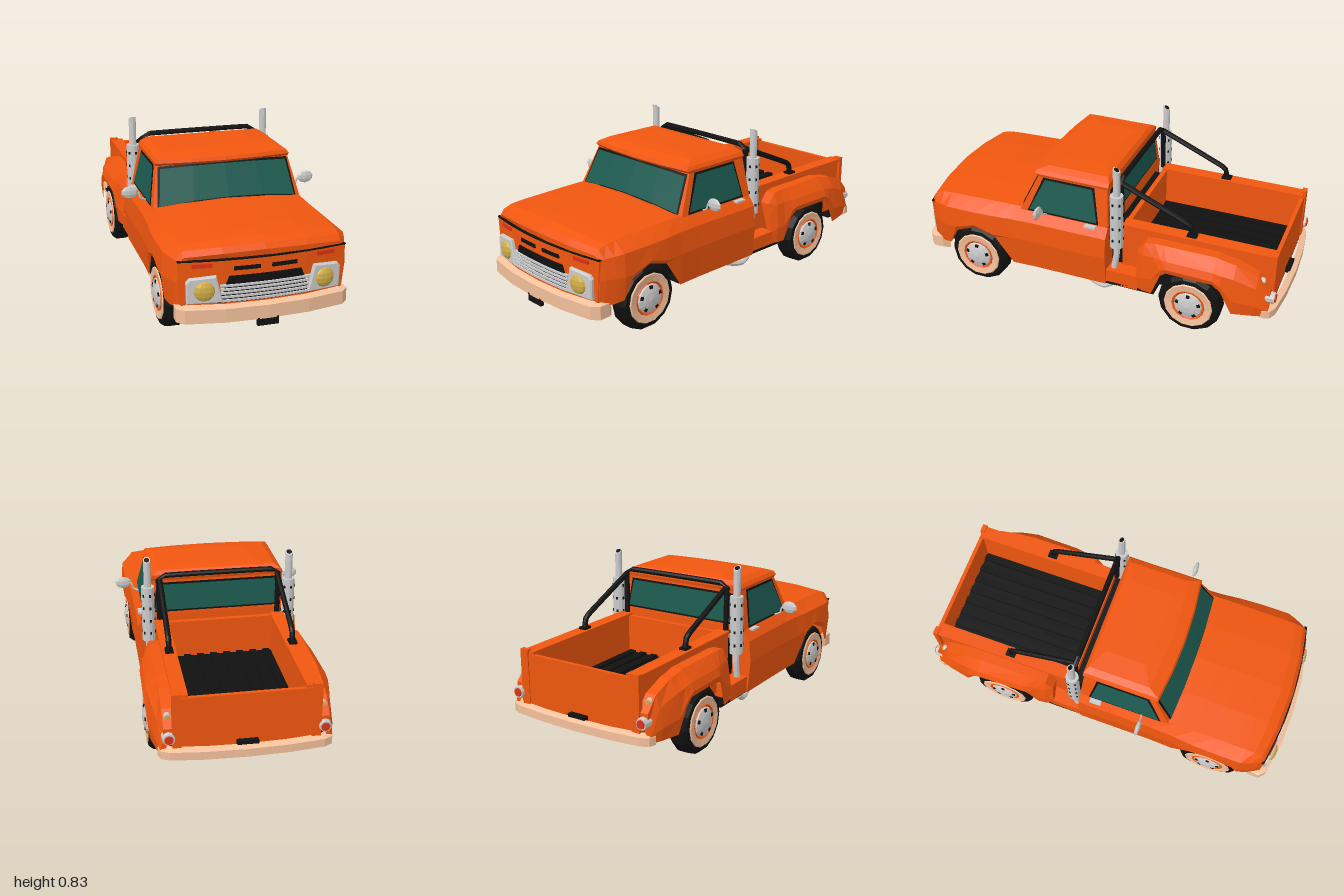
import * as THREE from 'three';

const mat = (color) => new THREE.MeshStandardMaterial({ color, flatShading: true, side: THREE.DoubleSide });
const orange = mat(0xf0560f), black = mat(0x111111), cream = mat(0xf3c09b), glass = mat(0x1d5a50);
const grey = mat(0xcccccc), yellow = mat(0xd0ae48), red = mat(0xdd3312);

export function createModel() {
  const truck = new THREE.Group();
  const add = (name, geo, material, parent = truck) => {
    const m = new THREE.Mesh(geo, material);
    m.name = name;
    parent.add(m);
    return m;
  };
  const both = (fn) => [1, -1].forEach((s) => fn(s, s > 0 ? 'left' : 'right'));
  // Box given by its limits on each axis
  const box = (name, x0, x1, y0, y1, z0, z1, material) => add(name,
    new THREE.BoxGeometry(Math.abs(x1 - x0), y1 - y0, Math.abs(z1 - z0))
      .translate((x0 + x1) / 2, (y0 + y1) / 2, (z0 + z1) / 2), material);
  // Surface through rings of equal point count, with optional end caps
  const skin = (rings, closed = false, caps = false) => {
    const n = rings[0].length, pos = [], idx = [];
    rings.forEach((r) => r.forEach((p) => pos.push(...p)));
    for (let i = 0; i < rings.length - 1; i++)
      for (let j = 0; j < (closed ? n : n - 1); j++) {
        const a = i * n + j, b = i * n + (j + 1) % n;
        idx.push(a, b, b + n, a, b + n, a + n);
      }
    if (caps) for (const o of [0, (rings.length - 1) * n])
      for (let j = 1; j < n - 1; j++) idx.push(o, o + j, o + j + 1);
    const g = new THREE.BufferGeometry();
    g.setAttribute('position', new THREE.Float32BufferAttribute(pos, 3));
    g.setIndex(idx);
    g.computeVertexNormals();
    return g;
  };
  const tube = (name, pts, r, material, sides = 8) => add(name, new THREE.TubeGeometry(
    new THREE.CatmullRomCurve3(pts.map((p) => new THREE.Vector3(...p)), false, 'catmullrom', 0.2), 24, r, sides), material);

  // Lower body and hood: [z, bow, sill y, side x, belt y, hood edge y, hood centre y]
  const bodyRings = [
    [0.95, 0.25, 0.2, 0.40, 0.425, 0.445, 0.46], [0.93, 0.25, 0.2, 0.415, 0.43, 0.47, 0.485],
    [0.88, 0.2, 0.2, 0.435, 0.435, 0.485, 0.505], [0.80, 0, 0.21, 0.45, 0.44, 0.49, 0.512],
    [0.75, 0, 0.3, 0.45, 0.44, 0.492, 0.515], [0.64, 0, 0.345, 0.45, 0.44, 0.495, 0.52],
    [0.53, 0, 0.31, 0.445, 0.44, 0.498, 0.525], [0.43, 0, 0.165, 0.435, 0.44, 0.5, 0.528],
    [0.3, 0, 0.165, 0.43, 0.44, 0.5, 0.51], [-0.1, 0, 0.165, 0.43, 0.44, 0.5, 0.5],
  ].map(([z, k, yb, x, ye, ys, yc]) => {
    const half = [[x - 0.015, yb], [x, Math.max(0.33, yb + 0.02)], [x - 0.01, ye], [0.375, ys], [0.2, (ys + 2 * yc) / 3]];
    return [...half, [0, yc], ...half.map(([a, b]) => [-a, b]).reverse()].map(([a, b]) => [a, b, z - k * a * a]);
  });
  add('body', skin(bodyRings, false, true), orange);

  // Cab: bowed front, flat back; [y, half width, front z, back z]
  const cabRing = ([y, w, f, b]) => [...[-1, -0.5, 0, 0.5, 1].map((t) => [t * w, y, f - 0.22 * w * w * t * t]), [w, y, b], [-w, y, b]];
  add('cabPillars', skin([[0.49, 0.385, 0.42, -0.1], [0.69, 0.345, 0.32, -0.085]].map(cabRing), true), orange);
  add('roof', skin([[0.685, 0.346, 0.322, -0.085], [0.7, 0.35, 0.338, -0.09], [0.718, 0.338, 0.33, -0.09],
    [0.738, 0.305, 0.27, -0.072], [0.747, 0.2, 0.2, -0.02]].map(cabRing), true, true), orange);

  // Windscreen, side and rear windows, each over a slightly larger black seal
  [['Seal', 0.01, 0.003, black], ['Glass', 0, 0.006, glass]].forEach(([suffix, e, off, m]) => {
    const screen = (w, y, bow) => [-1, -0.5, 0, 0.5, 1].map((t) => {
      const x = t * w, yy = y + bow * (1 - t * t);
      return [x, yy, 0.42 - (yy - 0.49) * 0.5 - 0.22 * x * x + off];
    });
    add('windscreen' + suffix, skin([screen(0.352 + e, 0.505 - e, 0.025), screen(0.328 + e, 0.672 + e, 0.01)]), m);
    both((s, side) => {
      const p = (z, y) => [s * (0.385 - (y - 0.49) * 0.2 + off), y, z];
      add(side + 'Window' + suffix, skin([[p(0.335 + e, 0.505 - e), p(-0.04 - e, 0.505 - e)],
        [p(0.255 + e, 0.675 + e), p(-0.005 - e, 0.675 + e)]]), m);
    });
    const r = (x, y) => [x, y, -0.1 + (y - 0.49) * 0.075 - off];
    add('rearWindow' + suffix, skin([[r(-0.33 - e, 0.525 - e), r(0.33 + e, 0.525 - e)],
      [r(-0.305 - e, 0.665 + e), r(0.305 + e, 0.665 + e)]]), m);
  });

  // Front face pieces follow the bow of the nose
  const nose = (name, x0, x1, y0, y1, depth, material, z = 0.95, flare = 0) => {
    const g = new THREE.BoxGeometry(x1 - x0, y1 - y0, depth, 8, 1, 1).translate((x0 + x1) / 2, (y0 + y1) / 2, z);
    const p = g.attributes.position;
    for (let i = 0; i < p.count; i++) {
      const x = p.getX(i) * (1 + flare * (p.getY(i) - y0) / (y1 - y0));
      p.setXYZ(i, x, p.getY(i), p.getZ(i) - 0.25 * x * x);
    }
    g.computeVertexNormals();
    return add(name, g, material);
  };
  nose('nosePanel', -0.385, 0.385, 0.2, 0.425, 0.01, orange, 0.95, 0.04);
  nose('hoodGap', -0.402, 0.402, 0.425, 0.431, 0.014, black);
  nose('grilleBack', -0.22, 0.22, 0.225, 0.35, 0.016, black, 0.953, -0.22);
  for (let i = 0; i < 5; i++) {
    const y = 0.23 + i * 0.018, w = 0.205 + i * 0.002;
    nose('grilleBar', -w, w, y, y + 0.01, 0.024, grey, 0.957);
  }
  both((s, side) => {
    const span = (a, b) => (s > 0 ? [a, b] : [-b, -a]);
    nose(side + 'NoseVent', ...span(0.028, 0.15), 0.376, 0.394, 0.014, black, 0.953);
    nose(side + 'Marker', ...span(0.25, 0.34), 0.398, 0.416, 0.018, red, 0.953);
    const bezel = new THREE.Shape([[0.205, 0.235], [0.36, 0.235], [0.362, 0.33], [0.35, 0.345], [0.235, 0.353]]
      .map(([x, y]) => new THREE.Vector2(s * (x - 0.285), y - 0.29)));
    const lamp = new THREE.Group();
    lamp.name = side + 'Headlight';
    lamp.position.set(s * 0.285, 0.29, 0.93);
    lamp.rotation.y = s * 0.14;
    truck.add(lamp);
    add('bezel', new THREE.ExtrudeGeometry(bezel, { depth: 0.016, bevelSize: 0.006, bevelThickness: 0.006, bevelSegments: 1 }), grey, lamp);
    add('lens', new THREE.SphereGeometry(0.048, 12, 6).scale(1, 1, 0.4), yellow, lamp).position.z = 0.022;
  });

  // Bumpers swept along a half path in plan, mirrored
  const bumper = (name, half, y0, y1, d) => {
    const path = [...half.map(([x, z]) => [-x, z]), [0, d], ...half.slice().reverse()];
    add(name, skin(path.map(([x, z]) => {
      const xi = x * 0.94, zi = z - d * 0.03;
      return [[x, y0 + 0.012, z], [x, y1 - 0.012, z], [xi, y1, zi], [xi, y0, zi]];
    }), true, true), cream);
  };
  bumper('frontBumper', [[0.41, 0.87], [0.413, 0.925], [0.38, 0.957], [0.2, 0.99]], 0.132, 0.222, 1);
  bumper('rearBumper', [[0.41, -0.92], [0.4, -0.955], [0.36, -0.975], [0.2, -0.993]], 0.17, 0.235, -1);
  box('frontPlateBracket', -0.06, 0.06, 0.15, 0.165, 0.975, 0.998, cream);
  box('frontPlate', -0.05, 0.05, 0.11, 0.155, 0.98, 0.998, black);
  box('rearPlate', -0.05, 0.05, 0.222, 0.25, -0.975, -0.95, black);

  // Underside and wheel housings
  box('chassis', -0.32, 0.32, 0.17, 0.25, -0.94, 0.88, black);
  box('floorPan', -0.41, 0.41, 0.166, 0.18, -0.36, 0.43, black);
  box('rearPan', -0.395, 0.395, 0.19, 0.2, -0.94, -0.78, black);
  box('frontPan', -0.39, 0.39, 0.2, 0.21, 0.8, 0.9, black);
  box('frontHousing', -0.32, 0.32, 0.2, 0.42, 0.44, 0.86, black);
  box('frontLiner', -0.43, 0.43, 0.345, 0.355, 0.5, 0.78, black);

  // Bed with ribbed floor and tailgate
  box('bedFloor', -0.28, 0.28, 0.27, 0.29, -0.94, -0.16, black);
  for (let i = 0; i < 8; i++) {
    const x = -0.245 + i * 0.07;
    box('floorRib', x - 0.018, x + 0.018, 0.288, 0.302, -0.93, -0.19, black);
  }
  box('bedFront', -0.33, 0.33, 0.2, 0.49, -0.185, -0.16, orange);
  box('tailgate', -0.31, 0.31, 0.22, 0.485, -0.95, -0.93, orange);
  box('cabGap', -0.32, 0.32, 0.2, 0.44, -0.16, -0.1, black);

  // Rear fenders: [z, top y, outer x, lower y]
  const fender = [[-0.26, 0.4, 0.41, 0.18], [-0.3, 0.452, 0.425, 0.18], [-0.35, 0.46, 0.43, 0.18], [-0.4, 0.46, 0.44, 0.31],
    [-0.43, 0.46, 0.445, 0.335], [-0.67, 0.46, 0.45, 0.335], [-0.71, 0.45, 0.447, 0.3], [-0.77, 0.44, 0.44, 0.18],
    [-0.88, 0.4, 0.42, 0.185], [-0.945, 0.33, 0.4, 0.19]];
  both((s, side) => {
    const sbox = (name, x0, x1, ...rest) => box(side + name, s * x0, s * x1, ...rest);
    sbox('BedSide', 0.275, 0.33, 0.2, 0.49, -0.94, -0.16, orange);
    sbox('BedRail', 0.27, 0.34, 0.485, 0.499, -0.945, -0.16, orange);
    sbox('BedPost', 0.3, 0.345, 0.2, 0.507, -0.955, -0.93, orange);
    sbox('Step', 0.32, 0.41, 0.168, 0.25, -0.27, -0.1, orange);
    sbox('HousingWall', 0.32, 0.336, 0.18, 0.35, -0.8, -0.34, black);
    sbox('HousingLiner', 0.33, 0.43, 0.336, 0.346, -0.7, -0.41, black);
    sbox('DoorHandle', 0.375, 0.412, 0.48, 0.49, -0.04, 0.02, grey);
    add(side + 'Fender', skin(fender.map(([z, t, x, b]) => [[0.33, t], [0.385, t], [x - 0.015, t - 0.06],
      [x, b + (t - 0.06 - b) * 0.4], [x - 0.008, b]].map(([px, py]) => [s * px, py, z])), false, true), orange);

    // Tail lights
    const disc = (name, r, y, z, depth, m) => add(side + name,
      new THREE.CylinderGeometry(r * 0.85, r, depth, 10).rotateX(-Math.PI / 2).translate(s * 0.362, y, z), m);
    disc('TailLightRim', 0.033, 0.285, -0.945, 0.045, grey);
    disc('TailLight', 0.024, 0.285, -0.966, 0.014, red);
    disc('ReverseLightRim', 0.02, 0.37, -0.895, 0.03, grey);
    disc('ReverseLight', 0.014, 0.37, -0.91, 0.01, yellow);

    // Exhaust stack: pierced heat shield, slant-cut tip, curved lower pipe
    const sx = s * 0.368, sz = -0.142;
    add(side + 'HeatShield', new THREE.CylinderGeometry(0.034, 0.034, 0.3, 12).translate(sx, 0.532, sz), grey);
    const tip = new THREE.CylinderGeometry(0.019, 0.019, 0.16, 10);
    const tp = tip.attributes.position;
    for (let i = 0; i < tp.count; i++) if (tp.getY(i) > 0) tp.setY(i, tp.getY(i) + tp.getZ(i) * 0.6);
    add(side + 'StackTip', tip.translate(sx, 0.746, sz), grey);
    add(side + 'StackBore', new THREE.CylinderGeometry(0.014, 0.014, 0.003, 10).rotateX(-0.54).translate(sx, 0.826, sz), black);
    for (let a = 0; a < 6; a++) for (let k = 0; k < 4; k++) {
      const t = (a + 0.25) * Math.PI / 3;
      add(side + 'ShieldHole', new THREE.BoxGeometry(0.009, 0.014, 0.006).translate(0, 0, 0.033).rotateY(t)
        .translate(sx, 0.43 + k * 0.07, sz), black);
    }
    tube(side + 'ExhaustPipe', [[sx, 0.4, sz], [sx, 0.33, sz], [sx, 0.2, -0.122], [sx, 0.14, -0.11], [sx, 0.118, -0.07],
      [s * 0.36, 0.125, -0.02], [s * 0.33, 0.165, 0.1]], 0.017, grey);

    // Roll bar brace and door mirror
    tube(side + 'RollBrace', [[s * 0.305, 0.715, -0.15], [s * 0.305, 0.575, -0.47], [s * 0.305, 0.55, -0.51], [s * 0.305, 0.495, -0.522]], 0.014, black);
    sbox('BraceFoot', 0.285, 0.325, 0.497, 0.51, -0.545, -0.495, black);
    tube(side + 'MirrorArm', [[s * 0.385, 0.495, 0.24], [s * 0.415, 0.51, 0.245], [s * 0.425, 0.54, 0.245], [s * 0.45, 0.545, 0.245]], 0.005, grey, 6);
    add(side + 'Mirror', new THREE.SphereGeometry(1, 8, 5).scale(0.044, 0.033, 0.014).translate(s * 0.469, 0.545, 0.248), grey);
  });
  tube('rollHoop', [[0.31, 0.49, -0.15], [0.31, 0.7, -0.145], [0.285, 0.736, -0.14],
    [-0.285, 0.736, -0.14], [-0.31, 0.7, -0.145], [-0.31, 0.49, -0.15]], 0.014, black);

  // Wheels, built with the outer face towards +x
  const lathe = (pts) => new THREE.LatheGeometry(pts.map((p) => new THREE.Vector2(...p)), 14).rotateZ(-Math.PI / 2);
  const parts = [
    ['tyre', [[0.02, -0.052], [0.145, -0.052], [0.165, -0.028], [0.165, 0.028], [0.148, 0.05], [0.125, 0.053]], black],
    ['whitewall', [[0.13, 0.05], [0.122, 0.058], [0.085, 0.052]], cream],
    ['rimRing', [[0.088, 0.05], [0.084, 0.057], [0.074, 0.05]], orange],
    ['hubcap', [[0.076, 0.048], [0.07, 0.058], [0.04, 0.068], [0, 0.074]], grey],
  ];
  both((s, side) => [['Front', 0.64], ['Rear', -0.55]].forEach(([end, z]) => {
    const wheel = new THREE.Group();
    wheel.name = side + end + 'Wheel';
    wheel.position.set(s * 0.377, 0.165, z);
    wheel.rotation.y = s > 0 ? 0 : Math.PI;
    parts.forEach(([name, pts, m]) => add(name, lathe(pts), m, wheel));
    for (let i = 0; i < 5; i++)
      add('hubSlot', new THREE.BoxGeometry(0.01, 0.018, 0.018).translate(0.059, 0.058, 0).rotateX(i * Math.PI * 0.4), black, wheel);
    truck.add(wheel);
  }));
  return truck;
}
